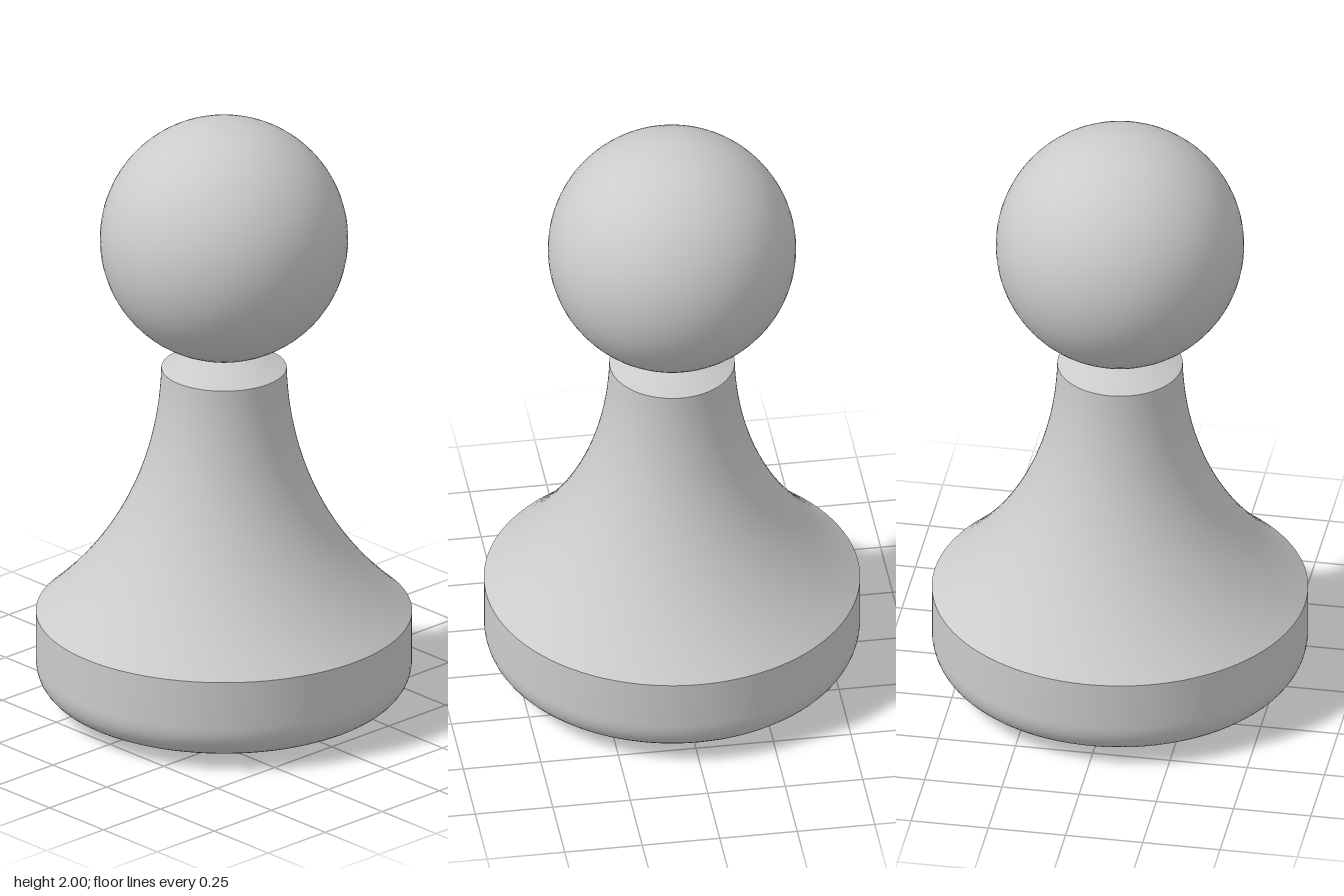
import * as THREE from 'three';

const material = new THREE.MeshStandardMaterial({ color: 0xcccccc });
const v = (r, y) => new THREE.Vector2(r, y);
const curve = (a, b, c, d, n) => new THREE.CubicBezierCurve(a, b, c, d).getPoints(n);

export function createModel() {
  const group = new THREE.Group();
  const add = (name, geometry) => {
    const mesh = new THREE.Mesh(geometry, material);
    mesh.name = name;
    group.add(mesh);
    return mesh;
  };
  // Profiles run from bottom to top; each part is its own lathe so the rims stay sharp
  const turn = (name, points) => add(name, new THREE.LatheGeometry(points, 96));

  // Rounded underside and upright rim
  turn('base', [
    v(0, 0),
    ...curve(v(0.28, 0.003), v(0.54, 0.01), v(0.6, 0.07), v(0.6, 0.16), 16),
    v(0.6, 0.24),
    v(0.6, 0.32),
  ]);

  // Concave flared body
  turn('body', curve(v(0.6, 0.32), v(0.36, 0.53), v(0.21, 0.81), v(0.2, 1.16), 28));

  // Shallow bevelled neck top
  turn('collar', [v(0.2, 1.16), v(0.14, 1.185), v(0.08, 1.206), v(0, 1.215)]);

  // Ball head
  add('head', new THREE.SphereGeometry(0.396, 64, 40)).position.y = 1.604;

  return group;
}
